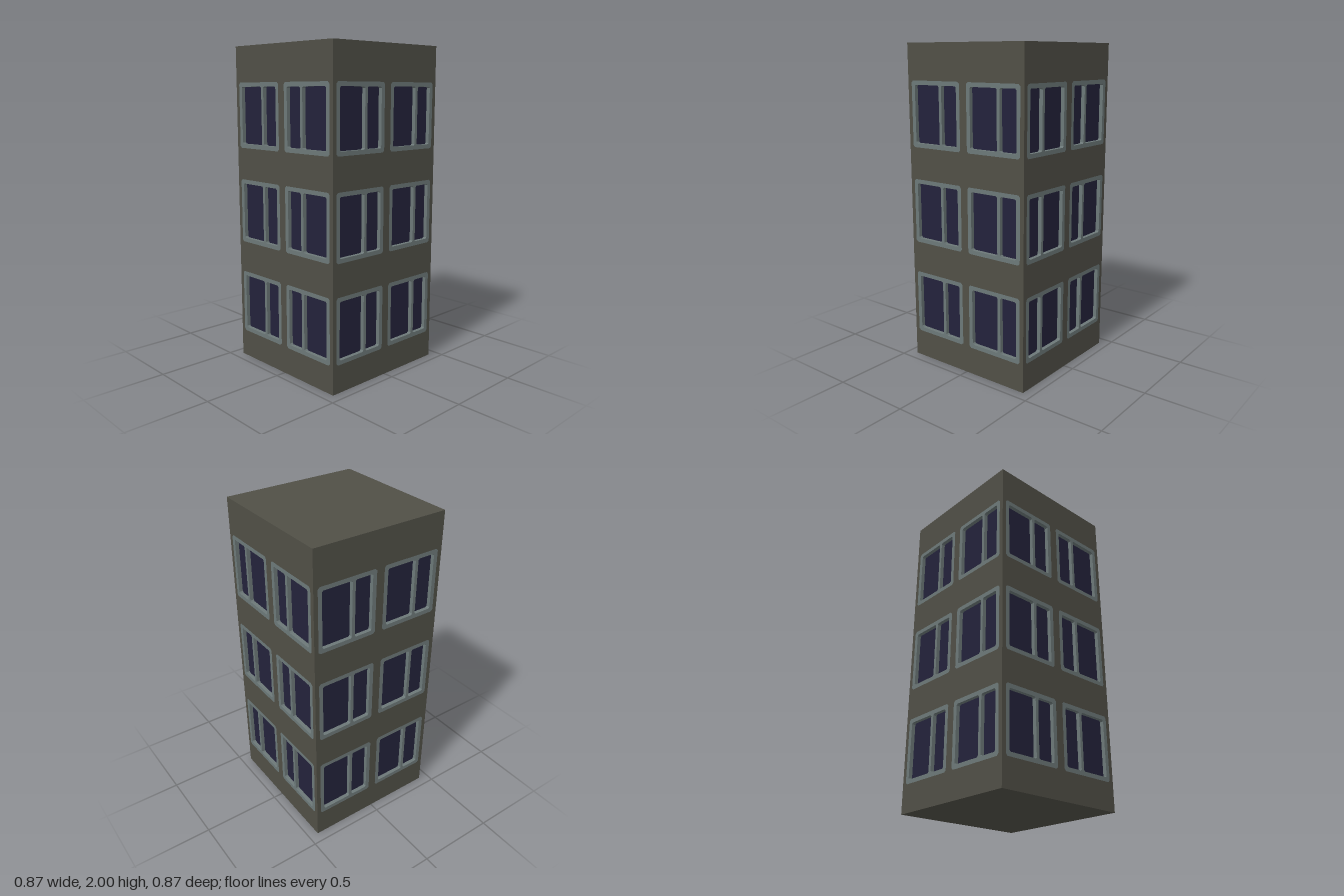
import * as THREE from 'three';

const HALF = 0.437, HEIGHT = 2;              // tower half width and height
const WIN_W = 0.384, WIN_H = 0.404;          // window outer size
const BORDER = 0.026, BAR = 0.02, DEPTH = 0.025;
const COLUMNS = [-0.218, 0.218], ROWS = [0.373, 0.975, 1.578];

const wall = new THREE.MeshStandardMaterial({ name: 'wall', color: 0x504f46 });
const frame = new THREE.MeshStandardMaterial({ name: 'frame', color: 0x6c7878 });
const glass = new THREE.MeshStandardMaterial({ name: 'glass', color: 0x23223b });

// Rectangle with clipped corners, drawn into a Shape or Path
function clippedRect(path, x0, y0, x1, y1, c) {
  path.moveTo(x0 + c, y0);
  path.lineTo(x1 - c, y0);
  path.lineTo(x1, y0 + c);
  path.lineTo(x1, y1 - c);
  path.lineTo(x1 - c, y1);
  path.lineTo(x0 + c, y1);
  path.lineTo(x0, y1 - c);
  path.lineTo(x0, y0 + c);
  path.closePath();
  return path;
}

function mesh(name, geometry, material) {
  const m = new THREE.Mesh(geometry, material);
  m.name = name;
  return m;
}

// Recessed two-pane window; side = +1 puts the bar to the right, -1 to the left
function makeWindow(side) {
  const g = new THREE.Group();
  g.name = 'window';
  const w = WIN_W / 2, h = WIN_H / 2, bar = side * 0.04;
  const outline = clippedRect(new THREE.Shape(), -w, -h, w, h, 0.012);
  const ix = w - BORDER, iy = h - BORDER;
  outline.holes.push(
    clippedRect(new THREE.Path(), -ix, -iy, bar - BAR / 2, iy, 0.008),
    clippedRect(new THREE.Path(), bar + BAR / 2, -iy, ix, iy, 0.008));
  const surround = mesh('windowFrame',
    new THREE.ExtrudeGeometry(outline, { depth: DEPTH, bevelEnabled: false }), frame);
  surround.position.z = -DEPTH;
  const pane = mesh('windowGlass', new THREE.PlaneGeometry(2 * ix, 2 * iy), glass);
  pane.position.z = -DEPTH + 0.001;
  g.add(surround, pane);
  return g;
}

// One wall with six openings and their windows
function makeFacade(name, sides) {
  const g = new THREE.Group();
  g.name = name;
  const shape = new THREE.Shape();
  clippedRect(shape, -HALF, 0, HALF, HEIGHT, 0);
  for (const y of ROWS) {
    COLUMNS.forEach((x, i) => {
      shape.holes.push(clippedRect(new THREE.Path(),
        x - WIN_W / 2, y - WIN_H / 2, x + WIN_W / 2, y + WIN_H / 2, 0.012));
      const win = makeWindow(sides[i]);
      win.position.set(x, y, HALF);
      g.add(win);
    });
  }
  const face = mesh('wallFace', new THREE.ShapeGeometry(shape), wall);
  face.position.z = HALF;
  g.add(face);
  return g;
}

export function createModel() {
  const model = new THREE.Group();
  model.name = 'towerBlock';

  // Four walls, each with its own window arrangement
  const facades = [
    ['frontWall', [1, 1], 0],
    ['leftWall', [-1, -1], Math.PI / 2],
    ['backWall', [1, 1], Math.PI],
    ['rightWall', [1, -1], -Math.PI / 2],
  ];
  for (const [name, sides, turn] of facades) {
    const f = makeFacade(name, sides);
    f.rotation.y = turn;
    model.add(f);
  }

  // Flat roof and underside
  const roof = mesh('roof', new THREE.PlaneGeometry(2 * HALF, 2 * HALF), wall);
  roof.rotation.x = -Math.PI / 2;
  roof.position.y = HEIGHT;
  const base = mesh('base', new THREE.PlaneGeometry(2 * HALF, 2 * HALF), wall);
  base.rotation.x = Math.PI / 2;
  model.add(roof, base);
  return model;
}
